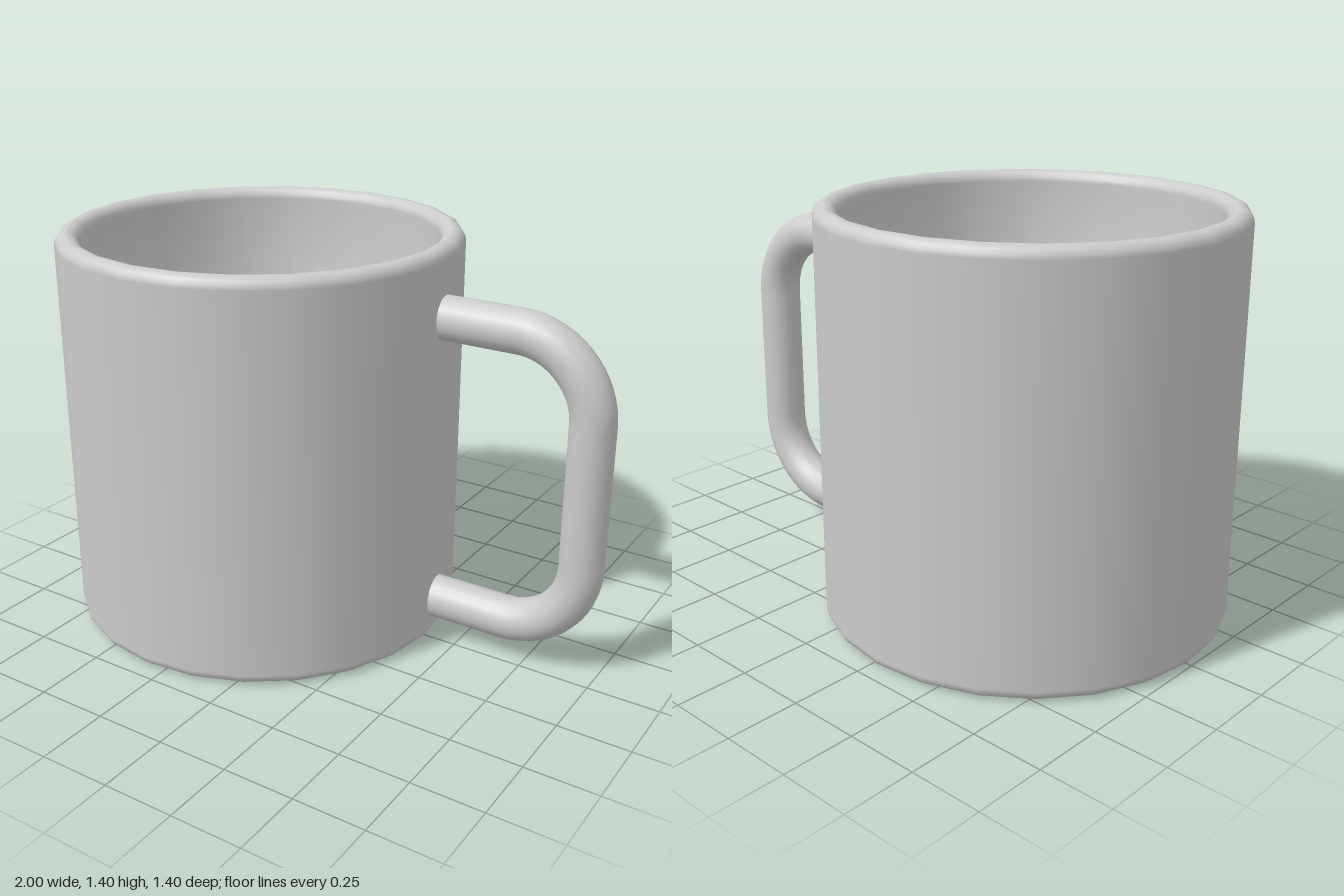
import * as THREE from 'three';

const grey = () => new THREE.MeshStandardMaterial({ color: 0xcccccc });

// Quarter-round corner points around (cx, cy), from angle a0 to a1 in degrees
function fillet(cx, cy, r, a0, a1, steps = 4) {
  const pts = [];
  for (let i = 0; i <= steps; i++) {
    const a = THREE.MathUtils.degToRad(a0 + ((a1 - a0) * i) / steps);
    pts.push(new THREE.Vector2(cx + r * Math.cos(a), cy + r * Math.sin(a)));
  }
  return pts;
}

// Hollow cup with rounded rim and foot, turned as one closed profile
function createCup() {
  const outer = 0.7, inner = 0.62, height = 1.4, r = 0.038;
  const floorY = 0.08, baseY = 0.03;
  const profile = [
    new THREE.Vector2(0, baseY),
    new THREE.Vector2(inner, baseY),
    ...fillet(inner + r, r, r, 190, 270),
    ...fillet(outer - r, r, r, 270, 360),
    ...fillet(outer - r, height - r, r, 0, 90),
    ...fillet(inner + r, height - r, r, 90, 180),
    new THREE.Vector2(inner, floorY),
    new THREE.Vector2(0, floorY),
  ];
  const cup = new THREE.Mesh(new THREE.LatheGeometry(profile, 24), grey());
  cup.name = 'cup';
  cup.position.x = -0.3;
  cup.rotation.y = -0.028;
  return cup;
}

// Round-section handle: two arms, two bends and an upright grip
function createHandle() {
  const start = 0.35, x = 0.925, top = 1.17, bottom = 0.14, bend = 0.265;
  const k = bend * (1 - 0.5523);
  const p = (px, py) => new THREE.Vector3(px, py, 0);
  const path = new THREE.CurvePath();
  path.add(new THREE.LineCurve3(p(start, top), p(x - bend, top)));
  path.add(new THREE.CubicBezierCurve3(p(x - bend, top), p(x - k, top), p(x, top - k), p(x, top - bend)));
  path.add(new THREE.LineCurve3(p(x, top - bend), p(x, bottom + bend)));
  path.add(new THREE.CubicBezierCurve3(p(x, bottom + bend), p(x, bottom + k), p(x - k, bottom), p(x - bend, bottom)));
  path.add(new THREE.LineCurve3(p(x - bend, bottom), p(start, bottom)));
  const handle = new THREE.Mesh(new THREE.TubeGeometry(path, 72, 0.075, 20, false), grey());
  handle.name = 'handle';
  handle.position.z = -0.055;
  return handle;
}

export function createModel() {
  const mug = new THREE.Group();
  mug.name = 'mug';
  mug.add(createCup(), createHandle());
  return mug;
}
